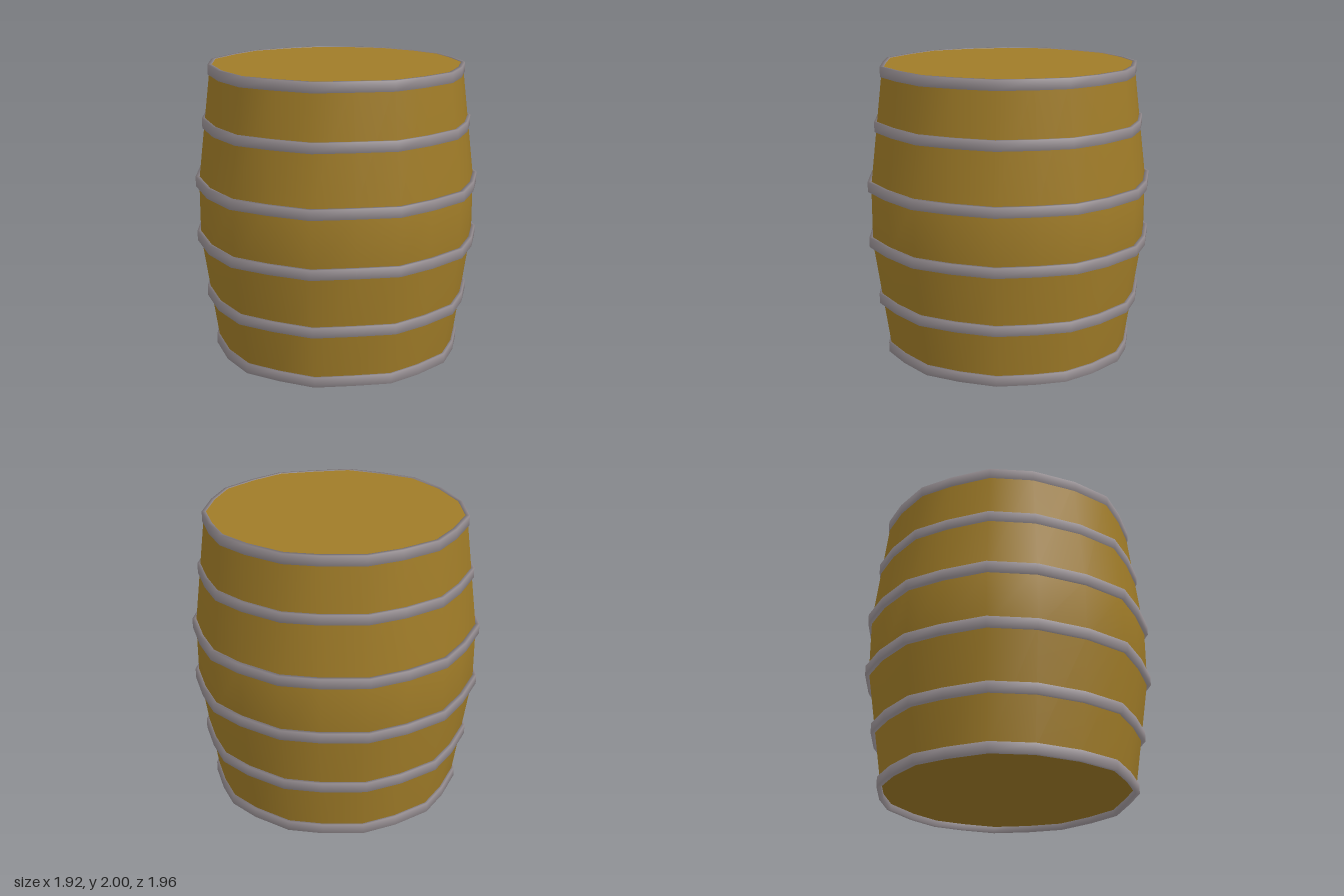
import * as THREE from 'three';

// Hand-cut, slightly uneven outline shared by staves and hoops: x, z at the widest hoop
const OUTLINE = [
  [0.183, -0.98], [-0.087, -0.98], [-0.39, -0.923], [-0.61, -0.77], [-0.838, -0.557], [-0.95, -0.25], [-0.962, 0.1],
  [-0.897, 0.418], [-0.72, 0.635], [-0.507, 0.842], [-0.23, 0.916], [0.05, 0.977], [0.312, 0.9], [0.585, 0.775],
  [0.768, 0.56], [0.92, 0.313], [0.957, 0.04], [0.96, -0.208], [0.862, -0.45], [0.69, -0.712], [0.468, -0.857],
];

// Skin a stack of [scale, y] copies of the outline; loop joins the last to the first
function loft(rings, loop = false) {
  const n = OUTLINE.length, position = [], index = [];
  for (const [s, y] of rings) for (const [x, z] of OUTLINE) position.push(x * s, y, z * s);
  const spans = loop ? rings.length : rings.length - 1;
  for (let i = 0; i < spans; i++) {
    const lo = i * n, hi = ((i + 1) % rings.length) * n;
    for (let j = 0; j < n; j++) {
      const k = (j + 1) % n;
      index.push(lo + j, lo + k, hi + k, lo + j, hi + k, hi + j);
    }
  }
  const geometry = new THREE.BufferGeometry();
  geometry.setAttribute('position', new THREE.Float32BufferAttribute(position, 3));
  geometry.setIndex(index);
  geometry.computeVertexNormals();
  return geometry;
}

export function createModel() {
  const barrel = new THREE.Group();
  barrel.name = 'barrel';
  const wood = new THREE.MeshStandardMaterial({ color: 0xa07c28 });
  const iron = new THREE.MeshStandardMaterial({ color: 0x989094 });
  const add = (name, geometry, material) => {
    const mesh = new THREE.Mesh(geometry, material);
    mesh.name = name;
    barrel.add(mesh);
  };

  // Bulging wooden wall with a straight belly; the lid is flush, the base recessed in its hoop
  add('staves', loft([[0.862, 0.04], [0.975, 0.8], [0.975, 1.2], [0.877, 1.998]]), wood);
  add('lid', loft([[0.877, 1.998], [0, 1.998]]), wood);
  add('base', loft([[0, 0.04], [0.862, 0.04]]), wood);

  // Iron hoops: [outer scale, centre height], square section with soft shading
  const half = 0.034;
  const hoops = [[0.883, half], [0.941, 0.4], [1, 0.808], [1, 1.196], [0.942, 1.602], [0.893, 2 - half]];
  for (const [s, y] of hoops) {
    const inner = s - 0.028;
    add('hoop', loft([[inner, y - half], [s, y - half], [s, y + half], [inner, y + half]], true), iron);
  }
  return barrel;
}
